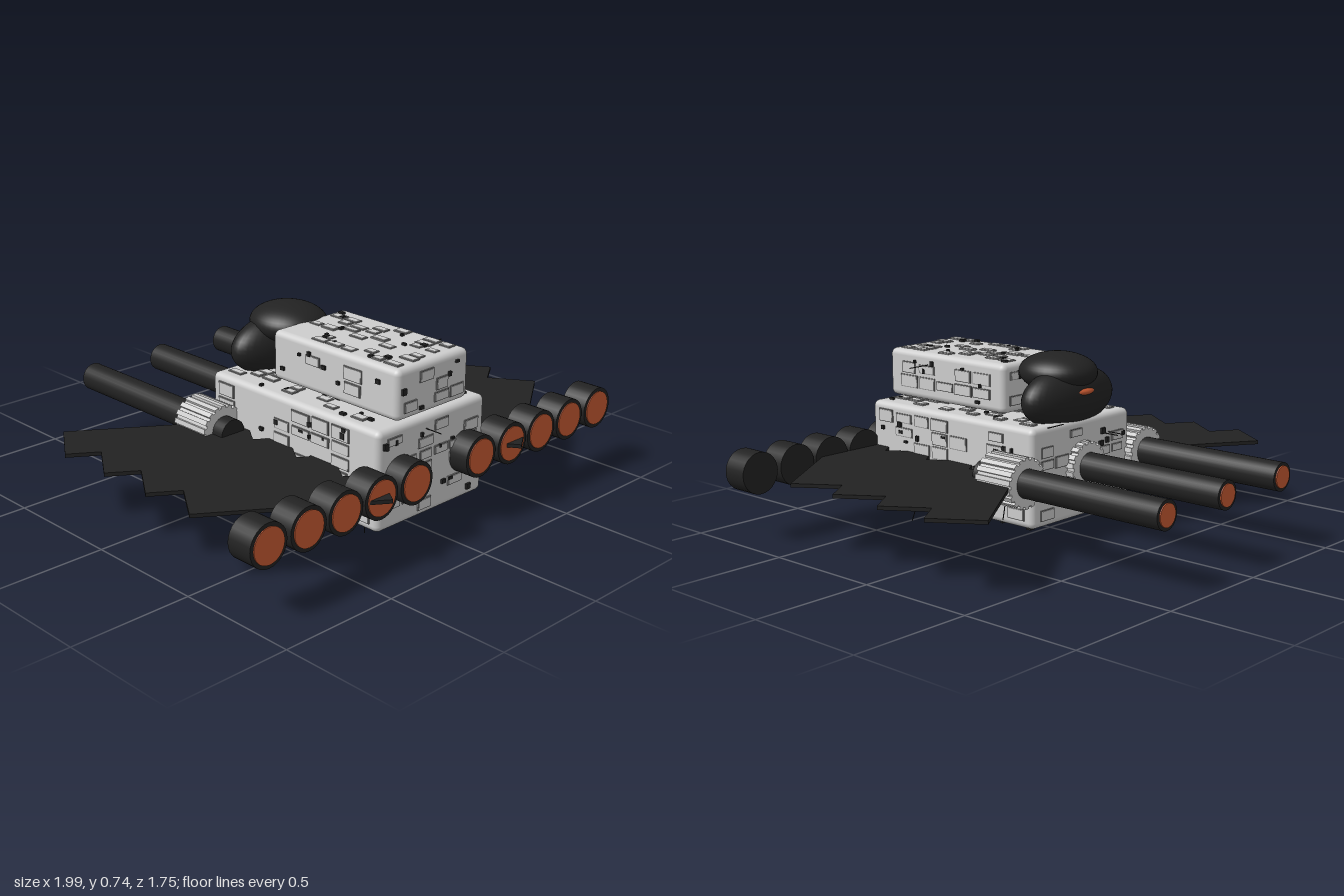
import * as THREE from 'three';
import { mergeGeometries } from 'three/addons/utils/BufferGeometryUtils.js';
import { RoundedBoxGeometry } from 'three/addons/geometries/RoundedBoxGeometry.js';

const mat = (name, color) => {
  const m = new THREE.MeshStandardMaterial({ color });
  m.name = name;
  return m;
};

export function createModel() {
  const root = new THREE.Group();
  root.name = 'spacecraft';
  const lightGrey = mat('light grey', 0xcdcdcd);
  const seamGrey = mat('seam grey', 0x858585);
  const black = mat('black', 0x222222);
  const orange = mat('orange', 0xc85a32);

  let seed = 7;
  const rnd = () => (seed = (seed * 16807) % 2147483647) / 2147483647;

  const add = (name, geo, material, x = 0, y = 0, z = 0, parent = root) => {
    const mesh = new THREE.Mesh(geo, material);
    mesh.name = name;
    mesh.position.set(x, y, z);
    parent.add(mesh);
    return mesh;
  };
  const tube = (r, len, sides = 28) => new THREE.CylinderGeometry(r, r, len, sides).rotateX(Math.PI / 2);

  // Armoured block with panels and dark specks spread over its faces
  function block(name, w, h, d, y, z, specksBelow) {
    const group = new THREE.Group();
    group.name = name;
    group.position.set(0, y, z);
    root.add(group);
    add(name + 'Body', new RoundedBoxGeometry(w, h, d, 3, 0.025), lightGrey, 0, 0, 0, group);
    const seams = [], panels = [], specks = [];
    // u and v span the face, n is its normal axis
    const faces = [
      ['z', 1, w, h, d, 0.085, 0.05], ['z', -1, w, h, d, 0.085, 0.05],
      ['x', 1, d, h, w, 0.105, 0.058], ['x', -1, d, h, w, 0.105, 0.058],
      ['y', 1, w, d, h, 0.042, 0.075], ['y', -1, w, d, h, 0.042, 0.075],
    ];
    for (const [axis, side, fu, fv, depth, pu, pv] of faces) {
      const plate = (list, u, v, a, b, t) => {
        const g = new THREE.BoxGeometry(a, b, t * 2);
        g.translate(u, v, depth / 2);
        if (side < 0) g.rotateY(Math.PI);
        if (axis === 'x') g.rotateY(Math.PI / 2);
        if (axis === 'y') g.rotateX(-Math.PI / 2);
        list.push(g);
      };
      const nu = Math.floor((fu - 0.05) / pu), nv = Math.floor((fv - 0.05) / pv);
      for (let i = 0; i < nu; i++) {
        for (let j = 0; j < nv; j++) {
          if (rnd() < 0.52) continue;
          const u = (i + 0.5 - nu / 2) * pu, v = (j + 0.5 - nv / 2) * pv;
          const a = pu * (0.7 + rnd() * 0.25), b = pv * (0.6 + rnd() * 0.35);
          const t = 0.003 + rnd() * 0.003;
          plate(seams, u, v, a, b, t);
          plate(panels, u, v, a - 0.007, b - 0.007, t + 0.002);
        }
      }
      const dense = axis === 'y' && side < 0 ? specksBelow : 1;
      const count = Math.round(fu * fv * 45 * dense);
      for (let k = 0; k < count; k++) {
        plate(specks, (rnd() - 0.5) * (fu - 0.06), (rnd() - 0.5) * (fv - 0.06),
          0.009 + rnd() * 0.016, 0.009 + rnd() * 0.016, 0.009);
      }
    }
    add(name + 'Seams', mergeGeometries(seams), seamGrey, 0, 0, 0, group);
    add(name + 'Panels', mergeGeometries(panels), lightGrey, 0, 0, 0, group);
    add(name + 'Specks', mergeGeometries(specks), black, 0, 0, 0, group);
  }
  block('hull', 0.59, 0.4, 0.91, 0.28, 0.28, 4);
  block('upperDeck', 0.39, 0.2, 0.66, 0.59, 0.4, 1);

  // Rounded bridge with a glowing slit facing the rear
  const ellipsoid = (rx, ry, rz) => new THREE.SphereGeometry(1, 40, 24).scale(rx, ry, rz);
  add('bridgeLower', ellipsoid(0.25, 0.125, 0.105), black, 0, 0.56, -0.095);
  add('bridgeUpper', ellipsoid(0.15, 0.08, 0.165), black, 0, 0.655, -0.045);
  add('bridgeSlit', ellipsoid(0.1, 0.03, 0.109), orange, 0, 0.59, -0.097);

  // Row of thrusters
  for (const s of [-1, 1]) {
    for (const x of [0.18, 0.365, 0.545, 0.725, 0.91]) {
      add('thruster', tube(0.085, 0.11), black, s * x, 0.28, 0.765);
      add('thrusterGlow', tube(0.07, 0.008), orange, s * x, 0.28, 0.82);
    }
  }

  // Stepped wings: four overlapping slanted plates a side
  for (const s of [-1, 1]) {
    const wing = new THREE.Group();
    wing.name = s > 0 ? 'leftWing' : 'rightWing';
    root.add(wing);
    for (let i = 0; i < 4; i++) {
      const plate = add('wingPlate', new THREE.BoxGeometry(0.72, 0.015, 0.228), black,
        s * 0.595, 0.282, -0.155 + i * 0.243, wing);
      plate.rotation.y = s * 0.594;
    }
  }

  // Three long barrels with ribbed collars
  const ribs = [];
  for (let i = 0; i < 18; i++) {
    ribs.push(new THREE.BoxGeometry(0.02, 0.012, 0.18).translate(0, 0.095, 0)
      .rotateZ((i / 18) * Math.PI * 2));
  }
  const ribGeo = mergeGeometries(ribs);
  for (const x of [-0.365, 0, 0.365]) {
    add('barrel', tube(0.058, 0.9), black, x, 0.29, -0.425);
    add('barrelGlow', tube(0.045, 0.008), orange, x, 0.29, -0.876);
    add('collar', tube(0.092, 0.18), lightGrey, x, 0.29, -0.12);
    add('collarRibs', ribGeo, lightGrey, x, 0.29, -0.12);
  }

  // Fine antennas
  const rods = [
    [0.19, 0.64, 0.5, 0.3, 0.64, 0.5], [0.27, 0.09, 0.49, 0.31, 0, 0.49],
    [0.37, 0.2, -0.1, 0.385, 0.13, -0.1], [-0.13, 0.4, -0.16, -0.13, 0.4, -0.25],
    [-0.16, 0.4, -0.16, -0.16, 0.4, -0.25], [0.2, 0.47, -0.16, 0.2, 0.5, -0.25],
    [-0.04, 0.43, 0.72, -0.04, 0.43, 0.81],
    [-0.24, 0.09, 0.62, -0.24, 0.03, 0.62], [-0.2, 0.09, 0.2, -0.2, 0.04, 0.2],
    [0.08, 0.09, 0.3, 0.08, 0.03, 0.3], [0.15, 0.09, 0.15, 0.15, 0.04, 0.15],
  ];
  for (const [ax, ay, az, bx, by, bz] of rods) {
    const path = new THREE.LineCurve3(new THREE.Vector3(ax, ay, az), new THREE.Vector3(bx, by, bz));
    add('antenna', new THREE.TubeGeometry(path, 1, 0.0022, 5), black);
  }
  return root;
}
